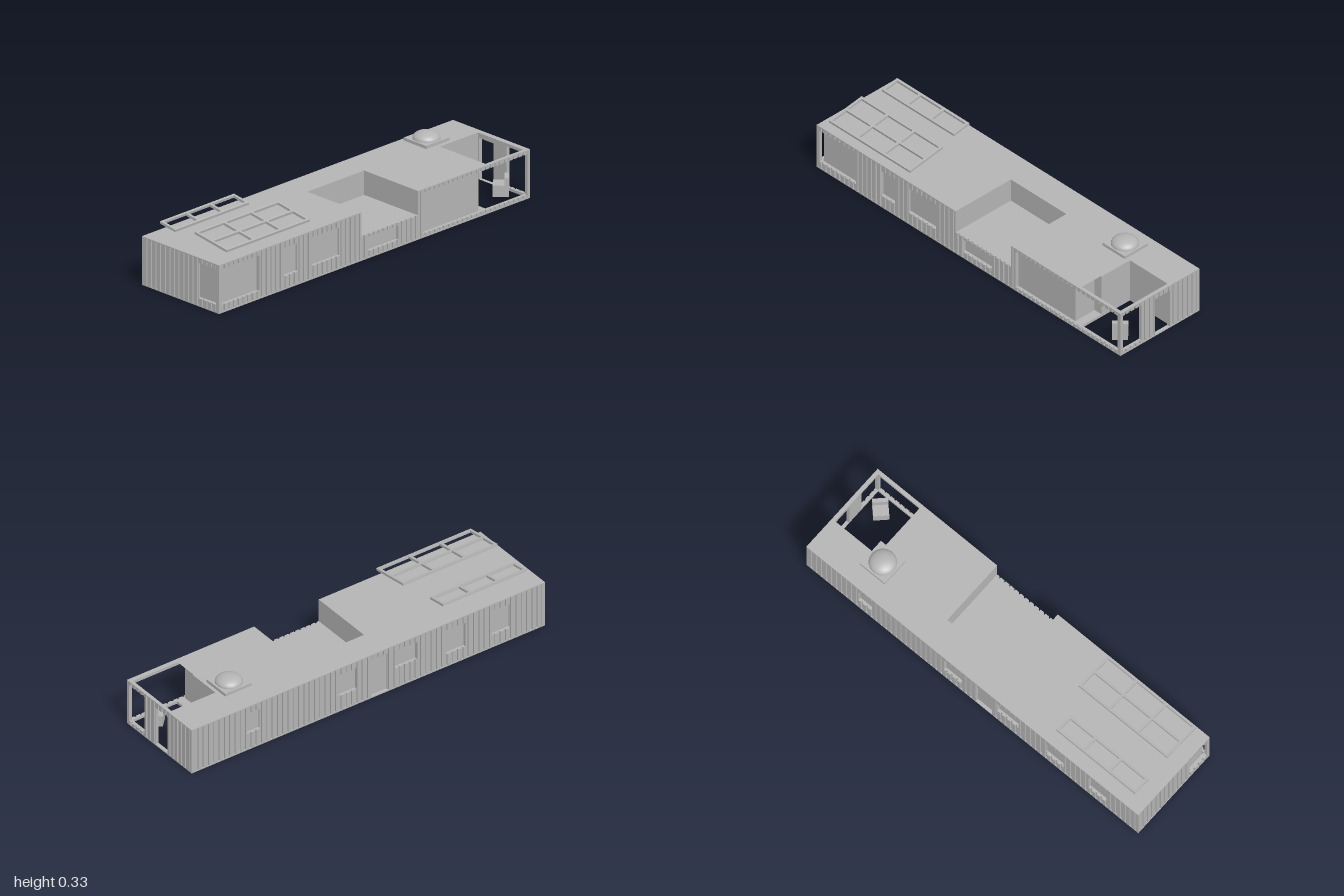
import * as THREE from 'three';
import { mergeGeometries } from 'three/addons/utils/BufferGeometryUtils.js';

const grey = new THREE.MeshStandardMaterial({ color: 0xb4b4b4 });
grey.name = 'plain grey';

const ROOF = 0.235, FLOOR = 0.006, THICK = 0.018, GROOVE = 0.007;

function mesh(name, geometry, parent) {
  const m = new THREE.Mesh(geometry, grey);
  m.name = name;
  parent.add(m);
  return m;
}

// Box given by its two opposite corners
function span(x0, x1, y0, y1, z0, z1) {
  return new THREE.BoxGeometry(x1 - x0, y1 - y0, z1 - z0)
    .translate((x0 + x1) / 2, (y0 + y1) / 2, (z0 + z1) / 2);
}

// Upright slab from an [x, z] outline with optional [x, z] holes
function slab(outline, holes, y0, y1) {
  const pts = (list) => list.map(([x, z]) => new THREE.Vector2(x, -z));
  const shape = new THREE.Shape(pts(outline));
  holes.forEach((h) => shape.holes.push(new THREE.Path(pts(h))));
  return new THREE.ExtrudeGeometry(shape, { depth: y1 - y0, bevelEnabled: false })
    .rotateX(-Math.PI / 2).translate(0, y0, 0);
}

// Corrugated wall facing +z with openings [u0, u1, y0, y1]
function wall(length, openings) {
  const half = length / 2, strips = [], parts = [];
  let u = -half;
  for (let c = -half + 0.033; c < half - 0.008; c += 0.03) {
    strips.push([u, c - 0.0045, 0], [c - 0.0045, c + 0.0045, GROOVE]);
    u = c + 0.0045;
  }
  strips.push([u, half, 0]);
  for (const [a, b, inset] of strips) {
    const cuts = [a, b];
    for (const o of openings) for (const e of [o[0], o[1]]) if (e > a && e < b) cuts.push(e);
    cuts.sort((p, q) => p - q);
    for (let i = 0; i + 1 < cuts.length; i++) {
      const p = cuts[i], q = cuts[i + 1], mid = (p + q) / 2;
      if (q - p < 1e-5) continue;
      let y = FLOOR;
      const here = openings.filter((o) => mid > o[0] && mid < o[1]).sort((m, n) => m[2] - n[2]);
      for (const o of [...here, [0, 0, ROOF, ROOF]]) {
        if (o[2] - y > 1e-4) parts.push(span(p, q, y, o[2], -THICK, -inset));
        y = Math.max(y, o[3]);
      }
    }
  }
  return mergeGeometries(parts);
}

// Tilted open frame with three columns of cells
function panelFrame(name, x0, x1, z0, z1, rows, yMid, parent) {
  const bar = 0.013, t = 0.012, tilt = 0.15, w = x1 - x0, d = (z1 - z0) * Math.hypot(1, tilt);
  const parts = [];
  for (let i = 0; i <= 3; i++) {
    const x = -w / 2 + bar / 2 + (i * (w - bar)) / 3;
    parts.push(span(x - bar / 2, x + bar / 2, -t / 2, t / 2, -d / 2, d / 2));
  }
  for (let i = 0; i <= rows; i++) {
    const z = -d / 2 + bar / 2 + (i * (d - bar)) / rows;
    parts.push(span(-w / 2, w / 2, -t / 2, t / 2, z - bar / 2, z + bar / 2));
  }
  const m = mesh(name, mergeGeometries(parts), parent);
  m.rotation.x = Math.atan(tilt);
  m.position.set((x0 + x1) / 2, yMid, (z0 + z1) / 2);
}

export function createModel() {
  const model = new THREE.Group();
  model.name = 'containerHouse';

  // Floor and roof plates, with the open terrace and the roof notch cut out
  const rect = [[-1, -0.25], [1, -0.25], [1, 0.25], [-1, 0.25]];
  const terrace = [[0.73, -0.07], [0.982, -0.07], [0.982, 0.232], [0.73, 0.232]];
  mesh('floorPlate', slab(rect, [terrace], 0, FLOOR), model);
  const roofOutline = [[-1, -0.25], [1, -0.25], [1, 0.25], [0.28, 0.25], [0.28, -0.1],
    [-0.085, -0.1], [-0.085, 0.25], [-1, 0.25]];
  mesh('roofPlate', slab(roofOutline, [terrace], ROOF, 0.24), model);

  // Inner rooms, seen behind the openings as recessed panes
  const B = -0.234, F = 0.232;
  const rightEnd = [[0.984, B], [0.984, -0.07], [0.73, -0.07], [0.73, 0.11], [0.685, 0.11], [0.685, F]];
  mesh('lowerRooms', slab([[-0.97, B], ...rightEnd, [-0.97, F]], [], FLOOR, 0.12), model);
  mesh('upperRooms', slab([[-0.97, B], ...rightEnd, [0.28, F], [0.28, -0.1], [-0.085, -0.1],
    [-0.085, F], [-0.97, F]], [], 0.12, ROOF), model);
  mesh('nicheFloor', span(0.685, 0.73, FLOOR, 0.02, 0.11, F), model);

  // Corrugated walls
  mesh('frontWall', wall(2, [
    [-0.985, -0.74, 0.04, 0.215], [-0.58, -0.49, 0.065, 0.205], [-0.4, -0.22, 0.065, 0.205],
    [-0.085, 0.28, 0.12, ROOF], [-0.04, 0.155, 0.035, 0.105], [0.31, 0.985, 0.02, 0.22],
  ]), model).position.z = 0.25;

  const back = mesh('backWall', wall(2, [
    [0.7, 0.805, 0.068, 0.2], [0.44, 0.55, 0.068, 0.2], [0.15, 0.277, 0.11, 0.205],
    [0.02, 0.113, FLOOR, 0.212], [-0.17, -0.063, 0.085, 0.2], [-0.686, -0.61, 0.09, 0.2],
  ]), model);
  back.rotation.y = Math.PI;
  back.position.z = -0.25;

  const left = mesh('terraceEndWall', wall(0.5, [
    [-0.235, -0.115, 0.02, 0.22], [-0.03, 0.063, FLOOR, 0.21],
  ]), model);
  left.rotation.y = Math.PI / 2;
  left.position.x = 1;

  const right = mesh('cornerWindowEndWall', wall(0.5, [[0.11, 0.235, 0.04, 0.215]]), model);
  right.rotation.y = -Math.PI / 2;
  right.position.x = -1;

  // Chair turned towards the terrace corner
  const chair = new THREE.Group();
  chair.name = 'chair';
  chair.position.set(0.903, 0.02, 0.158);
  chair.rotation.y = Math.PI / 4;
  mesh('chairSeat', span(-0.037, 0.037, 0, 0.056, -0.037, 0.017), chair);
  mesh('chairBack', span(-0.037, 0.037, 0, 0.092, 0.017, 0.037), chair);
  model.add(chair);

  // Roof panel frames
  panelFrame('largePanelFrame', -0.935, -0.4, 0.027, 0.235, 2, 0.302, model);
  panelFrame('smallPanelFrame', -0.935, -0.46, -0.198, -0.1, 1, 0.297, model);

  // Skylight
  mesh('skylightBase', span(0.6, 0.748, 0.277, 0.292, -0.166, -0.02), model);
  const dome = mesh('skylightDome',
    new THREE.SphereGeometry(0.065, 32, 12, 0, Math.PI * 2, 0, Math.PI / 2).scale(1, 0.52, 1), model);
  dome.position.set(0.674, 0.292, -0.093);

  return model;
}
